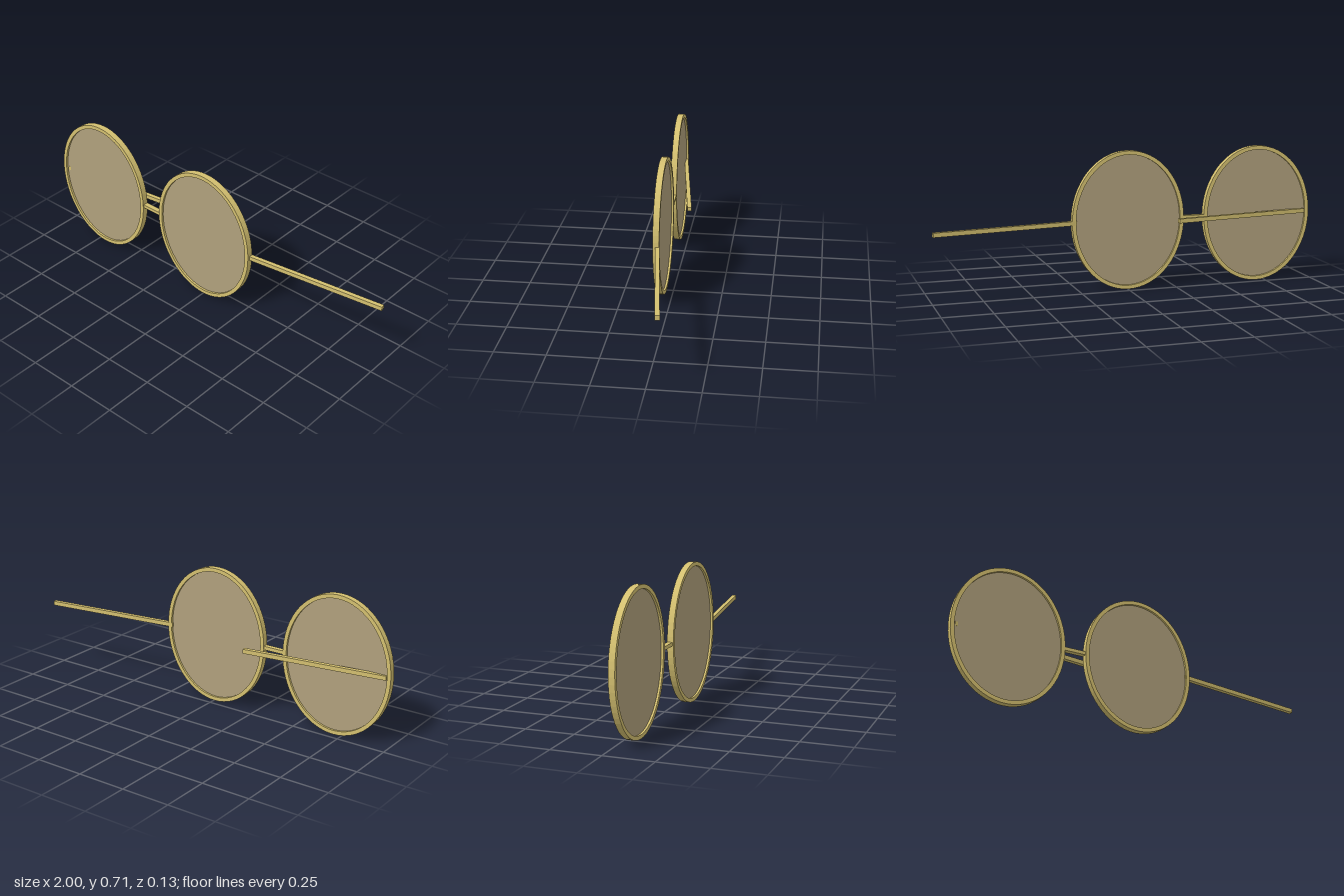
import * as THREE from 'three';

const MID_Y = 0.354;
const FRONT_Z = 0.05;
const RX = 0.295, RY = 0.354, RIM = 0.02, RIM_DEPTH = 0.032;
const SEGMENTS = 64;

// Points around an ellipse with the given half-axes
function ellipsePoints(rx, ry) {
  return Array.from({ length: SEGMENTS }, (_, i) => {
    const a = (i / SEGMENTS) * Math.PI * 2;
    return new THREE.Vector2(Math.cos(a) * rx, Math.sin(a) * ry);
  });
}

// Flat elliptical plate, centred on z, with an optional hole
function plate(outer, hole, depth) {
  const shape = new THREE.Shape(outer);
  if (hole) shape.holes.push(new THREE.Path(hole));
  const geo = new THREE.ExtrudeGeometry(shape, { depth, bevelEnabled: false });
  return geo.translate(0, 0, -depth / 2);
}

export function createModel() {
  const group = new THREE.Group();
  const metal = new THREE.MeshStandardMaterial({ color: 0xd4c070, flatShading: true });
  const glass = new THREE.MeshStandardMaterial({ color: 0xb0a07c, flatShading: true });

  function add(name, geo, mat, x, z) {
    const mesh = new THREE.Mesh(geo, mat);
    mesh.name = name;
    mesh.position.set(x, MID_Y, z);
    group.add(mesh);
    return mesh;
  }

  const inner = ellipsePoints(RX - RIM, RY - RIM);
  const rimGeo = plate(ellipsePoints(RX, RY), inner, RIM_DEPTH);
  const lensGeo = plate(inner, null, 0.01);

  // Temple arm: a square bar swung backwards towards +x
  const start = new THREE.Vector2(0.266, 0.046);
  const end = new THREE.Vector2(0.9985, -0.0535);
  const templeGeo = new THREE.BoxGeometry(start.distanceTo(end), 0.022, 0.022);
  const swing = Math.atan2(start.y - end.y, end.x - start.x);

  // Both sides share the same parts, shifted sideways
  for (const [side, cx, templeShift] of [['right', -0.705, -1.24], ['left', -0.005, 0]]) {
    add(side + 'Rim', rimGeo, metal, cx, FRONT_Z);
    add(side + 'Lens', lensGeo, glass, cx, FRONT_Z);
    const temple = add(side + 'Temple', templeGeo, metal,
      (start.x + end.x) / 2 + templeShift, (start.y + end.y) / 2);
    temple.rotation.y = swing;
  }

  // Bridge between the rims
  add('bridge', new THREE.BoxGeometry(0.13, 0.018, 0.026), metal, -0.355, 0.048);

  return group;
}
